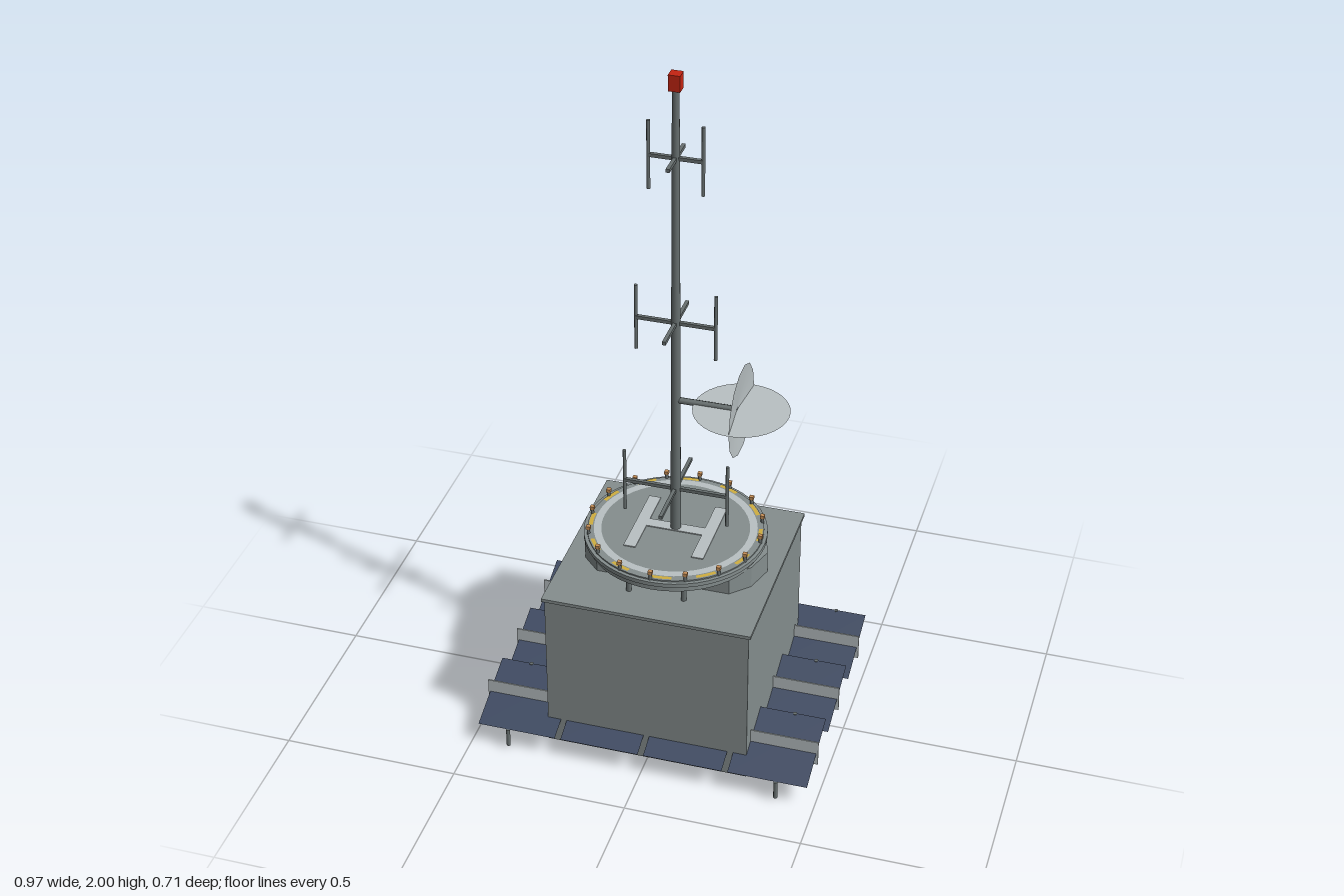
import * as THREE from 'three';

export function createModel() {
  const model = new THREE.Group();
  const mat = (name, color, extra = {}) => {
    const m = new THREE.MeshStandardMaterial({ color, ...extra });
    m.name = name;
    return m;
  };
  const two = { side: THREE.DoubleSide };
  const concrete = mat('concrete grey', 0x858e8e);
  const metal = mat('dark metal', 0x687070);
  const pale = mat('pale grey', 0xb9c1c3, two);
  const navy = mat('panel navy', 0x3c4860, two);
  const yellow = mat('marking yellow', 0xd0ae40);
  const amber = mat('lamp amber', 0xc89058);
  const red = mat('beacon red', 0xc42412);

  const add = (name, geo, material, x = 0, y = 0, z = 0, parent = model) => {
    const m = new THREE.Mesh(geo, material);
    m.name = name;
    m.position.set(x, y, z);
    parent.add(m);
    return m;
  };
  const group = (name) => {
    const g = new THREE.Group();
    g.name = name;
    model.add(g);
    return g;
  };
  const box = (w, h, d) => new THREE.BoxGeometry(w, h, d);
  // upright rod between two heights
  const rod = (name, r, x, z, y0, y1, parent, material = metal) =>
    add(name, new THREE.CylinderGeometry(r, r, y1 - y0, 8), material, x, (y0 + y1) / 2, z, parent);
  // flat ring sector lying on the deck
  const ring = (r0, r1, start = 0, sweep = Math.PI * 2, segs = 48) =>
    new THREE.RingGeometry(r0, r1, segs, 1, start, sweep).rotateX(-Math.PI / 2);

  // Main block, roof slab and underside plate
  add('mainBlock', box(0.58, 0.49, 0.58), concrete, 0, 0.255, 0);
  add('roofSlab', box(0.594, 0.01, 0.594), concrete, 0, 0.505, 0);
  add('basePlate', box(0.25, 0.01, 0.25), concrete, 0, 0.005, 0);

  // Tilted solar panels with upright fins and legs
  const panels = group('solarPanels');
  const low = 0.066, high = 0.142, depth = 0.21;
  const tilt = Math.atan2(high - low, depth);
  const slope = Math.hypot(high - low, depth);
  for (const z of [-0.245, 0, 0.245]) {
    for (const x of [-0.365, -0.1215, 0.1215, 0.365]) {
      const outer = Math.abs(x) > 0.2;
      if (z === 0 && !outer) continue;
      const panel = new THREE.PlaneGeometry(0.227, slope).rotateX(-Math.PI / 2).rotateX(tilt);
      add('solarPanel', panel, navy, x, (low + high) / 2, z, panels);
      if (!outer) continue;
      add('panelFin', box(0.235, 0.078, 0.004), pale, x * 1.003, 0.104, z, panels);
      const lx = Math.sign(x) * 0.39;
      rod('panelLeg', 0.006, lx, z + depth / 2, 0.01, low, panels);
      rod('panelLeg', 0.006, lx, z - depth / 2, 0.01, high, panels);
    }
  }

  // Landing pad: supports below, deck above
  const pad = group('landingPad');
  const lens = new THREE.Shape([
    [0.265, 0], [0.24, 0.08], [0.19, 0.13], [-0.19, 0.13], [-0.24, 0.08],
    [-0.265, 0], [-0.24, -0.08], [-0.19, -0.13], [0.19, -0.13], [0.24, -0.08],
  ].map(([x, y]) => new THREE.Vector2(x, y)));
  const core = new THREE.ExtrudeGeometry(lens, { depth: 0.065, bevelEnabled: false }).rotateX(-Math.PI / 2);
  add('padCore', core, concrete, 0, 0.51, 0, pad);
  add('padFooting', new THREE.ConeGeometry(0.16, 0.06, 24), concrete, 0, 0.54, 0, pad);
  for (let i = 0; i < 8; i++) {
    const a = (i + 0.5) * Math.PI / 4;
    rod('padColumn', 0.008, 0.205 * Math.cos(a), 0.205 * Math.sin(a), 0.51, 0.575, pad);
  }
  add('padDeck', new THREE.CylinderGeometry(0.246, 0.246, 0.036, 48), concrete, 0, 0.588, 0, pad);
  add('padRim', new THREE.CylinderGeometry(0.256, 0.256, 0.012, 48), concrete, 0, 0.596, 0, pad);

  // Deck markings: circle, two bars with a crossbar, dashes
  const top = 0.608;
  add('padCircle', ring(0.207, 0.228), pale, 0, top, 0, pad);
  for (const s of [-1, 1]) add('padBar', box(0.034, 0.004, 0.245), pale, s * 0.097, 0.607, 0, pad);
  add('padCrossbar', box(0.16, 0.004, 0.034), pale, 0, 0.607, 0, pad);
  for (let i = 0; i < 12; i++) {
    const a = THREE.MathUtils.degToRad(i * 30);
    add('padDash', ring(0.231, 0.242, a, 0.24, 5), yellow, 0, top, 0, pad);
  }
  // Edge lamps
  for (let i = 0; i < 16; i++) {
    const a = i * Math.PI / 8;
    const x = 0.243 * Math.cos(a), z = 0.243 * Math.sin(a);
    rod('lampPost', 0.005, x, z, 0.6, 0.622, pad);
    add('edgeLamp', box(0.012, 0.01, 0.012), amber, x, 0.625, z, pad);
  }

  // Mast with beacon
  const mast = group('mast');
  add('mastPole', new THREE.CylinderGeometry(0.01, 0.015, 1.36, 12), metal, 0, 1.28, 0, mast);
  add('beacon', box(0.032, 0.045, 0.032), red, 0, 1.9775, 0, mast);

  // Crossed aerials, shorter towards the top
  for (const [y, r] of [[0.74, 0.147], [1.273, 0.11], [1.762, 0.073]]) {
    add('aerialArm', box(2 * r, 0.01, 0.01), metal, 0, y, 0, mast);
    add('aerialArm', box(0.01, 0.01, 2 * r), metal, 0, y, 0, mast);
    for (const s of [-1, 1]) rod('aerialRod', 0.005, s * r, 0, y - 0.098, y + 0.098, mast);
  }

  // Dish: shallow upright cone crossed by a flat disc
  const dish = group('dish');
  add('dishArm', new THREE.CylinderGeometry(0.009, 0.009, 0.172, 8).rotateZ(Math.PI / 2),
    metal, 0.086, 1.03, 0, dish);
  const bowl = new THREE.ConeGeometry(0.13, 0.012, 14, 1, true).rotateZ(Math.PI / 2);
  add('dishBowl', bowl, pale, 0.177, 1.03, 0, dish);
  add('dishDisc', new THREE.CircleGeometry(0.132, 32).rotateX(-Math.PI / 2), pale, 0.183, 1.03, 0, dish);

  return model;
}
